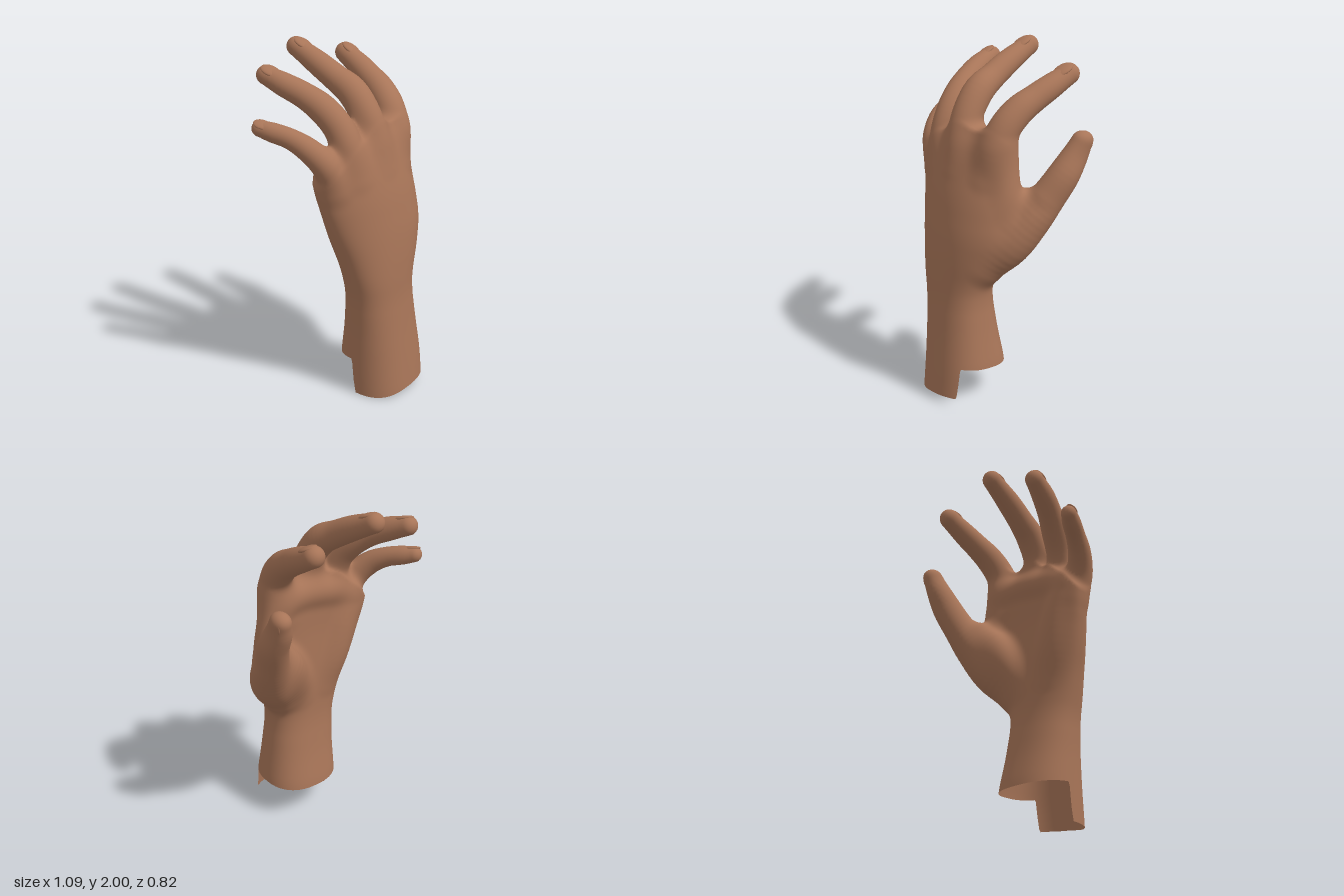
import * as THREE from 'three';

const skin = new THREE.MeshStandardMaterial({ color: 0xa87558 });
skin.name = 'skin';
const skinOpen = new THREE.MeshStandardMaterial({ color: 0xa87558, side: THREE.DoubleSide });
skinOpen.name = 'skin open edge';

// Forearm and palm cross-sections: y, xMin, xMax, zPalm, zBack, sideways bend
const SECTIONS = [
  [0, -.18, .285, -.03, .413, 0], [.2, -.18, .282, -.022, .392, 0],
  [.4, -.18, .25, .015, .37, 0], [.6, -.19, .225, .04, .352, 0],
  [.7, -.212, .233, .042, .352, .1], [.85, -.25, .3, .035, .347, .3],
  [1, -.298, .36, .035, .335, .45], [1.2, -.352, .365, .04, .305, .6],
  [1.35, -.37, .335, .035, .27, .65], [1.45, -.345, .32, .04, .24, .65],
  [1.53, -.29, .295, .06, .205, .6], [1.6, -.25, .28, .075, .16, .55],
];
const POWER = 2.4;

function rawSection(y) {
  const last = SECTIONS.length - 1;
  if (y <= 0) return SECTIONS[0];
  for (let i = 0; i < last; i++) {
    const a = SECTIONS[i], b = SECTIONS[i + 1];
    if (y < b[0]) return a.map((v, n) => v + (b[n] - v) * (y - a[0]) / (b[0] - a[0]));
  }
  return SECTIONS[last];
}
// Smoothed sections, tabulated every 0.005
const TABLE = [];
for (let i = 0; i <= 420; i++) {
  const s = [0, 0, 0, 0, 0, 0];
  for (let k = -6; k <= 6; k++) rawSection(i * .005 + k * .01).forEach((v, n) => { s[n] += v / 13; });
  TABLE.push([(s[1] + s[2]) / 2, (s[2] - s[1]) / 2, (s[3] + s[4]) / 2, (s[4] - s[3]) / 2, s[5]]);
}
function section(y) {
  const t = Math.min(Math.max(y / .005, 0), 419.99), i = Math.floor(t), f = t - i;
  return TABLE[i].map((v, n) => v + (TABLE[i + 1][n] - v) * f);
}

// Digits and palm pads: centre line points x, y, z, radius
const DIGITS = {
  littleFinger: { dorsal: [-.35, 1, .3], line: [[-.27, 1.28, .12, .078], [-.325, 1.41, .11, .076], [-.385, 1.505, .04, .066],
    [-.43, 1.56, -.05, .056], [-.475, 1.588, -.14, .053], [-.506, 1.604, -.2, .044]] },
  ringFinger: { dorsal: [-.2, 1, .4], line: [[-.165, 1.32, .155, .078], [-.185, 1.47, .14, .086], [-.205, 1.6, .085, .083],
    [-.235, 1.69, .005, .08], [-.275, 1.755, -.09, .071], [-.318, 1.805, -.2, .065], [-.347, 1.845, -.306, .053]] },
  middleFinger: { dorsal: [0, 1, .4], line: [[.01, 1.34, .165, .078], [0, 1.5, .15, .088], [-.01, 1.63, .11, .086],
    [-.022, 1.745, .025, .084], [-.037, 1.807, -.08, .074], [-.05, 1.872, -.2, .068], [-.061, 1.945, -.354, .055]] },
  indexFinger: { dorsal: [.1, 1, .4], line: [[.21, 1.32, .13, .078], [.235, 1.48, .11, .09], [.255, 1.6, .06, .087],
    [.272, 1.685, -.02, .082], [.288, 1.74, -.11, .074], [.302, 1.788, -.2, .069], [.315, 1.85, -.328, .058]] },
  thumb: { dorsal: [1, .15, .1], line: [[.2, .82, .14, .105], [.3, .96, .06, .125], [.375, 1.1, -.03, .11],
    [.425, 1.22, -.115, .088], [.465, 1.34, -.19, .076], [.476, 1.44, -.262, .057], [.491, 1.525, -.298, .043]] },
  thumbSide: { line: [[.42, 1.24, -.085, .06], [.455, 1.34, -.15, .06], [.472, 1.43, -.2, .05], [.492, 1.53, -.258, .04]] },
  thumbMuscle: { line: [[.1, .8, .14, .09], [.16, .93, .08, .105], [.24, 1.06, .025, .105], [.33, 1.18, -.02, .075]] },
  thumbWeb: { line: [[.3, 1.1, .07, .07], [.29, 1.24, .08, .072], [.265, 1.38, .085, .075], [.25, 1.48, .085, .075]] },
  heelPad: { line: [[-.08, .82, .15, .09], [-.14, .98, .11, .1], [-.2, 1.18, .09, .09], [-.24, 1.32, .095, .075]] },
  knucklePad: { line: [[-.25, 1.38, .09, .065], [-.12, 1.41, .082, .07], [.06, 1.44, .082, .072], [.22, 1.44, .08, .072]] },
};
const LIMBS = Object.values(DIGITS).map((d) => {
  d.curve = new THREE.CatmullRomCurve3(d.line.map((p) => new THREE.Vector3(p[0], p[1], p[2])));
  const radii = new THREE.SplineCurve(d.line.map((p, i) => new THREE.Vector2(i, p[3])));
  d.radius = (t) => radii.getPoint(t).y;
  const steps = (d.line.length - 1) * 5;
  return Array.from({ length: steps + 1 }, (_, i) => [...d.curve.getPoint(i / steps).toArray(), d.radius(i / steps)]);
});

function limbDistance(limb, x, y, z) {
  let best = 9;
  for (let i = 0; i < limb.length - 1; i++) {
    const a = limb[i], b = limb[i + 1];
    const dx = b[0] - a[0], dy = b[1] - a[1], dz = b[2] - a[2], px = x - a[0], py = y - a[1], pz = z - a[2];
    const t = Math.min(1, Math.max(0, (px * dx + py * dy + pz * dz) / (dx * dx + dy * dy + dz * dz)));
    const d = Math.sqrt((px - dx * t) ** 2 + (py - dy * t) ** 2 + (pz - dz * t) ** 2) - a[3] - (b[3] - a[3]) * t;
    if (d < best) best = d;
  }
  return best;
}
function palmDistance(x, y, z) {
  const [cx, a, cz, b, bend] = section(y);
  const u = Math.abs(x - cx) / a + 1e-4, v = Math.abs(z - cz + bend * (x - cx) ** 2) / b + 1e-4;
  const g = (u ** POWER + v ** POWER) ** (1 / POWER);
  const slope = g ** (1 - POWER) * Math.hypot(u ** (POWER - 1) / a, v ** (POWER - 1) / b);
  return Math.max((g - 1) / slope, y - 1.575 + 1.3 * (x - .1) ** 2);
}
// Skin field: palm and digits joined with soft fillets
function field(x, y, z) {
  let d = palmDistance(x, y, z);
  for (const limb of LIMBS) {
    const e = limbDistance(limb, x, y, z), h = Math.max(.06 - Math.abs(d - e), 0);
    d = Math.min(d, e) - h * h / .24;
  }
  return d;
}
function gradient(x, y, z, e) {
  return new THREE.Vector3(field(x + e, y, z) - field(x - e, y, z), field(x, y + e, z) - field(x, y - e, z),
    field(x, y, z + e) - field(x, y, z - e)).divideScalar(2 * e);
}
// A wide step keeps the shading soft
const skinNormal = (x, y, z) => gradient(x, y, z, .018).normalize().toArray();

function makeGeometry(positions, normals, index) {
  const g = new THREE.BufferGeometry();
  g.setAttribute('position', new THREE.Float32BufferAttribute(positions, 3));
  g.setAttribute('normal', new THREE.Float32BufferAttribute(normals, 3));
  return g.setIndex(index);
}

// Palm and digits as one continuous skin: one vertex per grid cell the surface crosses
function handGeometry() {
  const S = .0145, O = [-.62, .6, -.46], N = [84, 99, 60];
  const stride = [1, N[0], N[0] * N[1]], f = new Float32Array(N[0] * N[1] * N[2]);
  const each = (fn) => {
    for (let k = 0; k < N[2]; k++) for (let j = 0; j < N[1]; j++) for (let i = 0; i < N[0]; i++) {
      fn([i, j, k], i + j * stride[1] + k * stride[2]);
    }
  };
  each((c, id) => { f[id] = field(O[0] + c[0] * S, O[1] + c[1] * S, O[2] + c[2] * S); });
  const pos = [], nor = [], index = [], cell = new Int32Array(f.length).fill(-1);
  each((c, id) => {
    if (c.some((v, n) => v >= N[n] - 1)) return;
    const sum = [0, 0, 0];
    let count = 0;
    for (let q = 0; q < 8; q++) for (let d = 0; d < 3; d++) {
      if (q >> d & 1) continue;
      const o = [q & 1, q >> 1 & 1, q >> 2 & 1];
      const from = id + o[0] + o[1] * stride[1] + o[2] * stride[2];
      const v0 = f[from], v1 = f[from + stride[d]];
      if (v0 < 0 === v1 < 0) continue;
      o[d] = v0 / (v0 - v1);
      o.forEach((v, n) => { sum[n] += v; });
      count++;
    }
    if (!count) return;
    const p = new THREE.Vector3(...sum.map((v, n) => O[n] + (c[n] + v / count) * S));
    const g = gradient(p.x, p.y, p.z, .006);
    p.addScaledVector(g, -field(p.x, p.y, p.z) / Math.max(g.lengthSq(), .25));
    cell[id] = pos.length / 3;
    pos.push(p.x, p.y, p.z);
    nor.push(...skinNormal(p.x, p.y, p.z));
  });
  each((c, id) => {
    for (let d = 0; d < 3; d++) {
      const a = (d + 1) % 3, b = (d + 2) % 3;
      if (c[d] >= N[d] - 1 || !c[a] || !c[b] || f[id] < 0 === f[id + stride[d]] < 0) continue;
      const q = [id - stride[a] - stride[b], id - stride[b], id, id - stride[a]].map((n) => cell[n]);
      if (q.some((n) => n < 0)) continue;
      if (f[id] >= 0) q.reverse();
      index.push(q[0], q[1], q[2], q[0], q[2], q[3]);
    }
  });
  return makeGeometry(pos, nor, index);
}

// Hollow forearm with a stepped lower edge, longer over the back of the wrist
function forearmGeometry() {
  const cols = 180, rows = 20, pos = [], nor = [], index = [];
  const soft = (v) => Math.sign(v) * Math.abs(v) ** (2 / POWER), step = THREE.MathUtils.smoothstep;
  for (let i = 0; i <= cols; i++) {
    const deg = i / cols * 360, c = Math.cos(deg * Math.PI / 180), s = Math.sin(deg * Math.PI / 180);
    const flap = step(deg, 45, 51) * (1 - step(deg, 180, 185));
    const bottom = THREE.MathUtils.lerp(.215 + .02 * s, .045 * step(c, -1, .5), flap);
    for (let j = 0; j <= rows; j++) {
      const y = bottom + (.622 - bottom) * j / rows, [cx, a, cz, b] = section(y);
      const x = cx + a * soft(c), z = cz + b * soft(s);
      pos.push(x, y, z);
      nor.push(...skinNormal(x, y, z));
      if (i < cols && j < rows) {
        const n = i * (rows + 1) + j, m = n + rows + 1;
        index.push(n, n + 1, m, m, n + 1, m + 1);
      }
    }
  }
  return makeGeometry(pos, nor, index);
}

// Nail: a shallow oval sunk into the back of a fingertip
function nail(name, { curve, radius, dorsal }) {
  const t = .965, r = radius(t), along = curve.getTangent(t);
  const up = new THREE.Vector3(...dorsal).addScaledVector(along, -along.dot(new THREE.Vector3(...dorsal))).normalize();
  const mesh = new THREE.Mesh(new THREE.SphereGeometry(1, 24, 12), skin);
  mesh.name = name + 'Nail';
  mesh.scale.set(r * .78, r * .27, r * 1.1);
  mesh.quaternion.setFromRotationMatrix(new THREE.Matrix4().makeBasis(up.clone().cross(along), up, along));
  mesh.position.copy(curve.getPoint(t)).addScaledVector(up, r * .76);
  return mesh;
}

export function createModel() {
  const group = new THREE.Group();
  group.name = 'hand';
  const palm = new THREE.Mesh(handGeometry(), skin);
  palm.name = 'palmAndFingers';
  const forearm = new THREE.Mesh(forearmGeometry(), skinOpen);
  forearm.name = 'forearm';
  group.add(palm, forearm);
  for (const [name, digit] of Object.entries(DIGITS)) if (digit.dorsal) group.add(nail(name, digit));
  return group;
}
